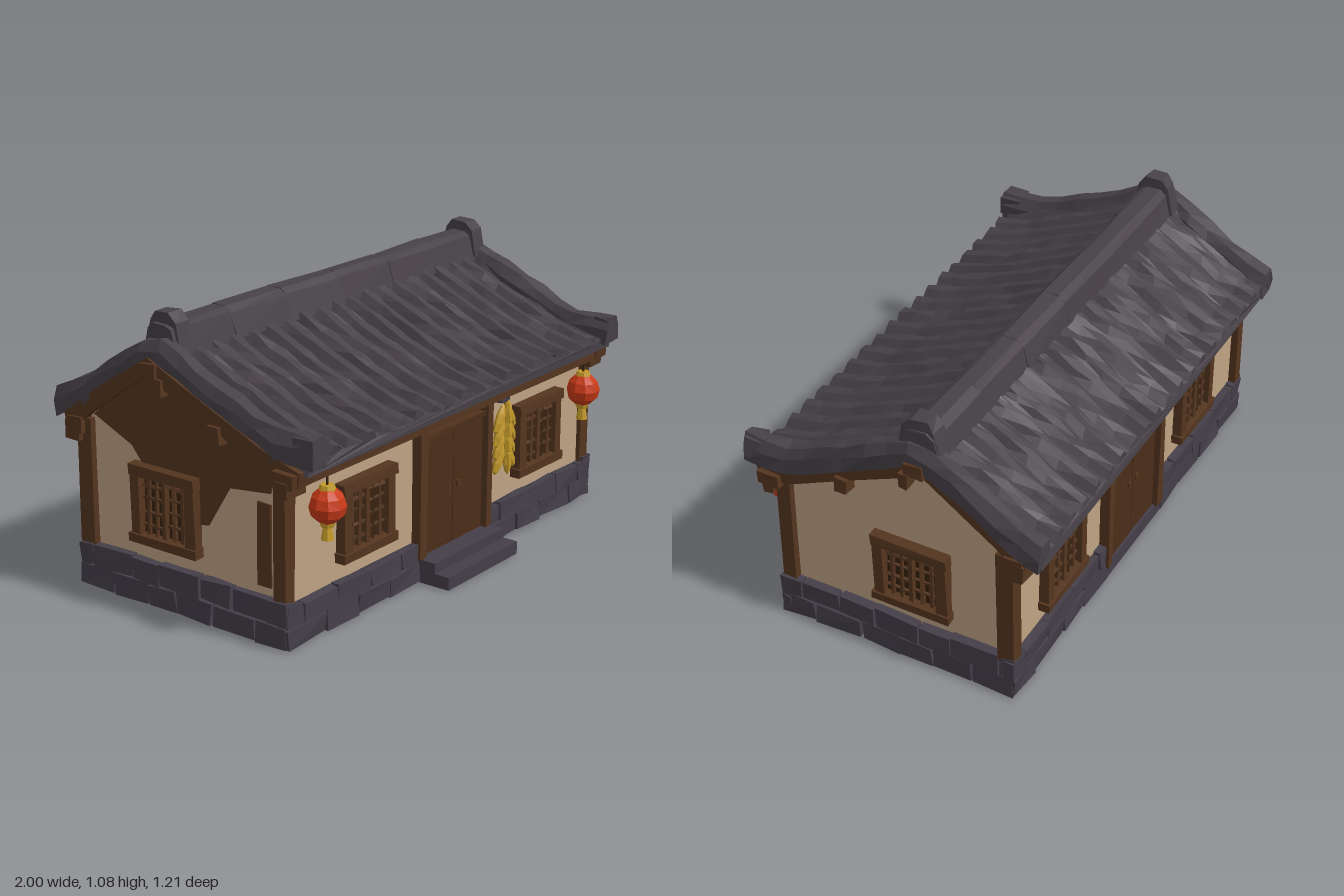
import * as THREE from 'three';

const mat = (name, color, extra = {}) =>
  Object.assign(new THREE.MeshStandardMaterial({ color, flatShading: true, ...extra }), { name });
const M = {
  roof: mat('slate tile', 0x474148), stone: mat('grey stone', 0x443e48), wall: mat('clay plaster', 0xbfa384),
  wood: mat('brown timber', 0x54351f), door: mat('door timber', 0x4b2e19), dark: mat('dark lattice', 0x36220f),
  red: mat('lantern red', 0xc93a17), gold: mat('corn gold', 0xc49a2a),
};

// Hand-carved look: shift every corner by a repeatable amount that depends on its position
const hash = (x, y, z) => {
  const s = Math.sin(x * 127.1 + y * 311.7 + z * 74.7) * 43758.5453;
  return (s - Math.floor(s)) * 2 - 1;
};
function rough(geo, amt, key = 0) {
  const p = geo.attributes.position;
  for (let i = 0; i < p.count; i++) {
    const [x, y, z] = [p.getX(i), p.getY(i), p.getZ(i)].map(v => Math.round(v * 1000) / 1000 + 0);
    p.setXYZ(i, x + amt * hash(x + key, y, z), y + amt * hash(y, z + key, x), z + amt * hash(z, x, y + key));
  }
  geo.computeVertexNormals();
  return geo;
}

export function createModel() {
  const root = new THREE.Group();
  root.name = 'cottage';
  const add = (name, geo, material, parent = root) => {
    const m = new THREE.Mesh(geo, material);
    m.name = name;
    parent.add(m);
    return m;
  };
  const group = (name, parent = root) => {
    const g = new THREE.Group();
    g.name = name;
    parent.add(g);
    return g;
  };
  // Box given by its limits
  const box = (name, [x0, x1], [y0, y1], [z0, z1], material, parent = root, amt = 0.004) => {
    const g = new THREE.BoxGeometry(x1 - x0, y1 - y0, z1 - z0);
    g.translate((x0 + x1) / 2, (y0 + y1) / 2, (z0 + z1) / 2);
    return add(name, rough(g, amt), material, parent);
  };
  // Side profile of [z, y] points, extruded along x
  const sideExtrude = (pts, x0, x1) => {
    const shape = new THREE.Shape(pts.map(([z, y]) => new THREE.Vector2(-z, y)));
    const g = new THREE.ExtrudeGeometry(shape, { depth: x1 - x0, bevelEnabled: false });
    return g.rotateY(Math.PI / 2).translate(x0, 0, 0);
  };

  // Plaster body with gables
  add('plasterWalls', sideExtrude([[0.44, 0.1], [0.44, 0.65], [0.15, 0.765], [-0.15, 0.9], [-0.43, 0.7],
    [-0.47, 0.65], [-0.47, 0.1]], -0.935, 0.935), M.wall);

  // Stone plinth: core and two courses of blocks on each side
  const plinth = group('stonePlinth');
  box('plinthCore', [-0.945, 0.945], [0, 0.15], [-0.485, 0.445], M.stone, plinth, 0);
  const courses = (a, b, top, place) => {
    for (let row = 0; row < 2; row++) {
      const n = Math.round((b - a) / 0.17), h = top / 2;
      const cuts = [a];
      for (let i = 1; i < n + row; i++) cuts.push(a + (b - a) * (i - row * 0.5 + 0.12 * hash(i, row, a)) / n);
      cuts.push(b);
      for (let i = 0; i + 1 < cuts.length; i++)
        place([cuts[i] + 0.003, cuts[i + 1] - 0.003], [row * h + 0.004, (row + 1) * h]);
    }
  };
  for (const [a, b] of [[-0.97, -0.21], [0.24, 0.975]]) {
    courses(a, b, 0.15, (x, y) => box('frontBlock', x, y, [0.43, 0.472], M.stone, plinth, 0.006));
    courses(a, b, 0.16, (x, y) => box('backBlock', x, y, [-0.5, -0.46], M.stone, plinth, 0.006));
  }
  for (const s of [-1, 1])
    courses(-0.497, 0.468, 0.168, (z, y) =>
      box('gableBlock', s > 0 ? [0.92, 0.97] : [-0.97, -0.92], y, z, M.stone, plinth, 0.006));
  box('lowerStep', [-0.21, 0.24], [0, 0.05], [0.44, 0.6], M.stone, plinth, 0);
  box('upperStep', [-0.21, 0.24], [0, 0.09], [0.44, 0.54], M.stone, plinth, 0);
  box('backThreshold', [-0.21, 0.24], [0, 0.06], [-0.5, -0.46], M.stone, plinth, 0);

  // Timber frame
  const frame = group('timberFrame');
  for (const s of [-1, 1]) {
    const x = s > 0 ? [0.915, 0.963] : [-0.963, -0.915];
    box('frontCornerPost', x, [0.14, 0.62], [0.405, 0.46], M.wood, frame);
    box('backCornerPost', x, [0.15, 0.64], [-0.497, -0.43], M.wood, frame);
    // Rake boards under the roof edge
    add('rakeBoard', sideExtrude([[0.52, 0.595], [0.4, 0.615], [0.15, 0.73], [-0.15, 0.86], [-0.43, 0.665],
      [-0.53, 0.57], [-0.55, 0.65], [-0.37, 0.78], [-0.14, 0.925], [0.116, 0.81], [0.37, 0.7], [0.53, 0.65]],
      s > 0 ? 0.9 : -0.97, s > 0 ? 0.97 : -0.9), M.wood, frame);
    // Purlin ends
    const px = s > 0 ? [0.9, 0.99] : [-0.985, -0.9];
    for (const [z, y, w, h] of [[0.168, 0.71, 0.05, 0.06], [-0.085, 0.83, 0.035, 0.06], [-0.13, 0.885, 0.07, 0.045]])
      box('purlinEnd', px, [y - h / 2, y + h / 2], [z - w / 2, z + w / 2], M.wood, frame);
    box('frontBracket', s > 0 ? [0.9, 0.985] : [-1, -0.9], [0.56, 0.615], [0.455, 0.5], M.wood, frame);
    box('backBracket', s > 0 ? [0.91, 0.98] : [-0.98, -0.91], [0.555, 0.63], [-0.54, -0.47], M.wood, frame);
  }
  box('frontTopBeam', [-0.995, 0.99], [0.595, 0.645], [0.43, 0.52], M.wood, frame);
  box('backTopBeam', [-0.98, 0.98], [0.585, 0.645], [-0.53, -0.46], M.wood, frame);

  // Timber panel high on the right gable
  add('gablePanel', sideExtrude([[0.4, 0.62], [0.38, 0.54], [0.2, 0.52], [0.1, 0.36], [-0.05, 0.34], [-0.25, 0.58],
    [-0.43, 0.66], [-0.15, 0.88], [0.15, 0.74]], -0.942, -0.934), M.wood);
  box('gableStrip', [-0.943, -0.934], [0.2, 0.5], [0.32, 0.38], M.wood);

  // Doorways: posts, header and two leaves, built facing +z
  const doorway = (name, bottom, top) => {
    const g = group(name);
    for (const x of [-0.21, 0.21])
      box('doorPost', [x - 0.022, x + 0.022], [bottom, 0.6], [-0.01, 0.035], M.wood, g);
    box('doorHeader', [-0.19, 0.19], [top, top + 0.022], [-0.01, 0.028], M.wood, g);
    box('doorSeam', [-0.19, 0.19], [bottom, top], [-0.01, 0.006], M.dark, g, 0);
    for (const s of [-1, 1]) {
      box('doorLeaf', s < 0 ? [-0.188, -0.003] : [0.003, 0.188], [bottom, top], [-0.01, 0.014], M.door, g, 0.002);
      box('doorPull', [s * 0.03 - 0.008, s * 0.03 + 0.008], [0.3, 0.325], [0.01, 0.021], M.wood, g, 0.001);
    }
    return g;
  };
  doorway('frontDoor', 0.09, 0.53).position.set(0.013, 0, 0.445);
  const backDoor = doorway('backDoor', 0.06, 0.565);
  backDoor.position.set(0.03, 0, -0.475);
  backDoor.rotation.y = Math.PI;

  // Lattice windows, built facing +z
  const window_ = (name, x, z, turn, y = 0.365) => {
    const g = group(name);
    box('pane', [-0.125, 0.125], [-0.12, 0.12], [-0.01, 0.006], M.dark, g, 0);
    for (const s of [-1, 1])
      box('windowJamb', s < 0 ? [-0.148, -0.108] : [0.108, 0.148], [-0.13, 0.13], [-0.01, 0.034], M.wood, g);
    box('windowHead', [-0.152, 0.152], [0.108, 0.146], [-0.01, 0.038], M.wood, g);
    box('windowSill', [-0.155, 0.155], [-0.147, -0.11], [-0.01, 0.042], M.wood, g);
    box('mullion', [-0.01, 0.01], [-0.115, 0.115], [0, 0.026], M.wood, g, 0.003);
    for (const s of [-1, 1]) {
      for (const u of [0.042, 0.08])
        box('latticeUpright', [s * u - 0.005, s * u + 0.005], [-0.115, 0.115], [0, 0.018], M.wood, g, 0.004);
      for (const v of [-0.07, -0.02, 0.03, 0.075])
        box('latticeBar', s < 0 ? [-0.11, 0] : [0, 0.11], [v - 0.005 + s * 0.008, v + 0.005 + s * 0.008],
          [0, 0.016], M.wood, g, 0.004);
    }
    g.position.set(x, y, z);
    g.rotation.y = turn;
  };
  for (const x of [-0.515, 0.583]) {
    window_('frontWindow', x, 0.442, 0);
    window_('backWindow', x, -0.472, Math.PI);
  }
  window_('leftGableWindow', 0.937, -0.085, Math.PI / 2, 0.38);
  window_('rightGableWindow', -0.94, -0.085, -Math.PI / 2, 0.38);

  // Roof: a rippled cross-section swept over a bent slope line
  const slope = [[-0.6, 0.628], [-0.48, 0.675], [-0.37, 0.76], [-0.13, 0.905], [0.116, 0.79], [0.37, 0.68], [0.56, 0.632]];
  const slopeY = z => {
    let i = 0;
    while (i < slope.length - 2 && z > slope[i + 1][0]) i++;
    const [[z0, y0], [z1, y1]] = [slope[i], slope[i + 1]];
    return y0 + (y1 - y0) * (z - z0) / (z1 - z0);
  };
  const sweep = (pts, z0, z1, steps, amt, lift = 0) => {
    const shape = new THREE.Shape(pts.map(p => new THREE.Vector2(...p)));
    const g = new THREE.ExtrudeGeometry(shape, { depth: z1 - z0, steps, bevelEnabled: false }).translate(0, 0, z0);
    const p = g.attributes.position;
    for (let i = 0; i < p.count; i++) {
      const z = p.getZ(i);
      p.setY(i, p.getY(i) + slopeY(z) + lift * Math.max(0, z - 0.42));
    }
    return rough(g, amt);
  };
  const roof = group('roof');
  const rolls = 20, x0 = -0.95, pitch = 1.91 / rolls;
  const ripple = [[x0, 0]];
  ripple.push([x0 + rolls * pitch, 0]);
  for (let i = rolls - 1; i >= 0; i--)
    for (const [u, h] of [[0.98, 0.04], [0.74, 0.068], [0.4, 0.07], [0.2, 0.042]])
      ripple.push([x0 + (i + u) * pitch, h]);
  add('tiledSlopes', sweep(ripple, -0.595, 0.545, 16, 0.006), M.roof, roof);

  // Heavy edge rolls with upturned front tips
  for (const x of [-0.92, 0.935])
    add('gableRoll', sweep([[x - 0.045, -0.002], [x + 0.045, -0.002], [x + 0.046, 0.06], [x + 0.025, 0.1],
      [x - 0.025, 0.1], [x - 0.046, 0.06]], -0.6, 0.575, 14, 0.008, 0.28), M.roof, roof);
  for (const x of [-0.92, 0.945])
    box('cornerTip', [x - 0.04, x + 0.035], [0.69, 0.765], [0.5, 0.575], M.roof, roof, 0.01);

  // Ridge and its end caps
  for (let i = 0; i < 6; i++) {
    const a = -0.91 + i * 0.31;
    add('ridgeCourse', rough(sideExtrude([[-0.05, 0.92], [-0.08, 1.015], [-0.105, 1.033], [-0.165, 1.033],
      [-0.19, 1.01], [-0.21, 0.92]], a, a + 0.312), 0.004), M.roof, roof);
  }
  for (const [a, b] of [[-0.895, -0.83], [0.88, 0.945]])
    add('ridgeCap', rough(sideExtrude([[-0.045, 0.93], [-0.07, 1.04], [-0.1, 1.072], [-0.165, 1.07],
      [-0.19, 1.04], [-0.215, 0.93]], a, b), 0.004), M.roof, roof);

  // Hanging lanterns
  for (const x of [-0.8, 0.832]) {
    const g = group('lantern');
    const drum = (name, rt, rb, h, y, m, n = 7) =>
      add(name, new THREE.CylinderGeometry(rt, rb, h, n).translate(0, y, 0), m, g);
    add('lanternBody', rough(new THREE.SphereGeometry(0.066, 9, 6), 0.002), M.red, g);
    drum('lanternCord', 0.005, 0.005, 0.06, 0.095, M.dark, 5);
    drum('lanternTop', 0.025, 0.032, 0.02, 0.064, M.gold);
    drum('lanternFoot', 0.03, 0.024, 0.022, -0.065, M.gold);
    drum('lanternTassel', 0.014, 0.023, 0.05, -0.098, M.gold);
    g.position.set(x, 0.488, 0.51);
  }

  // Bunch of drying corn
  const corn = group('cornBunch');
  const cob = (x, y, z, tilt, len) => {
    const c = add('cornCob', rough(new THREE.SphereGeometry(1, 6, 5), 0.05, y).scale(0.019, len / 2, 0.017), M.gold, corn);
    c.position.set(x, y, z);
    c.rotation.z = tilt;
  };
  for (let i = 0; i < 4; i++)
    for (const s of [-1, 1]) cob(s * 0.036, 0.49 - i * 0.053, 0.012, s * 0.5, 0.125);
  for (let i = 0; i < 4; i++) cob(0, 0.5 - i * 0.057, 0.026, 0.05, 0.13);
  box('cornTie', [-0.05, 0.005], [0.56, 0.59], [0, 0.03], M.stone, corn, 0.006);
  box('cornCord', [-0.004, 0.004], [0.53, 0.6], [0.01, 0.018], M.dark, corn, 0);
  corn.position.set(0.34, 0, 0.455);

  return root;
}
